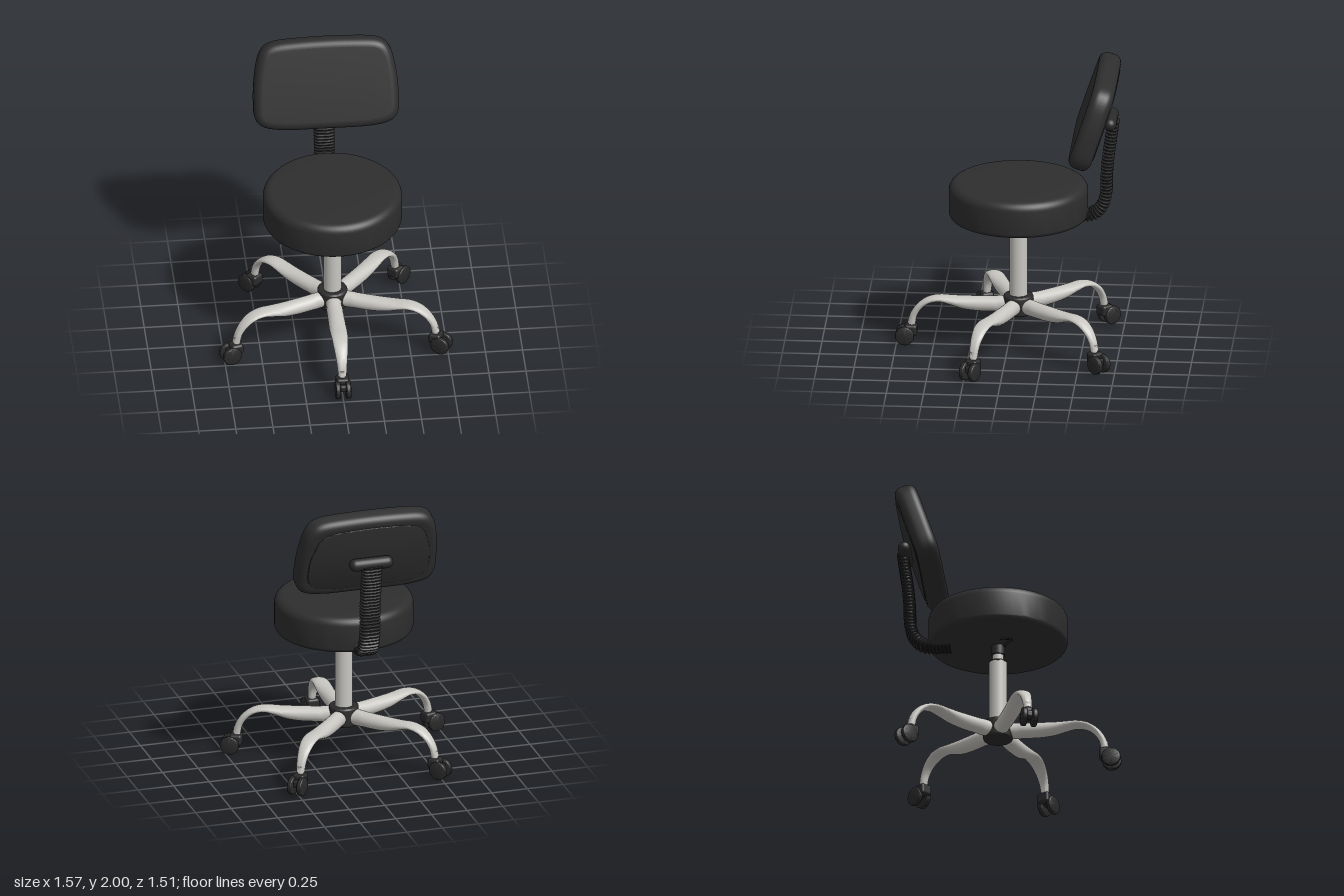
import * as THREE from 'three';
import { toCreasedNormals } from 'three/addons/utils/BufferGeometryUtils.js';
import { RoundedBoxGeometry } from 'three/addons/geometries/RoundedBoxGeometry.js';

const material = (name, color) => {
  const m = new THREE.MeshStandardMaterial({ color });
  m.name = name;
  return m;
};
const vinyl = material('black vinyl', 0x2e2e2e);
const plastic = material('black plastic', 0x2a2a2a);
const metal = material('silver metal', 0xc8c6c1);

const V = (x, y, z) => new THREE.Vector3(x, y, z);
const curve = (pts) => new THREE.CatmullRomCurve3(pts.map((p) => V(...p)));

function add(parent, name, geometry, mat, x = 0, y = 0, z = 0) {
  const mesh = new THREE.Mesh(geometry, mat);
  mesh.name = name;
  mesh.position.set(x, y, z);
  parent.add(mesh);
  return mesh;
}

// Sweeps an oval along a path; size(t) gives half width (along side) and half height.
function sweep(path, side, size, rings, sides, power = 1, crease = 0.9) {
  const pos = [], index = [];
  const bend = (v) => Math.sign(v) * Math.abs(v) ** power;
  for (let i = 0; i <= rings; i++) {
    const t = i / rings, c = path.getPoint(t);
    const n = path.getTangent(t).cross(side).normalize();
    const [w, h] = size(t, i);
    for (let j = 0; j < sides; j++) {
      const a = (j / sides) * Math.PI * 2;
      const p = c.clone().addScaledVector(side, w * bend(Math.cos(a))).addScaledVector(n, h * bend(Math.sin(a)));
      pos.push(p.x, p.y, p.z);
    }
  }
  pos.push(...path.getPoint(0).toArray(), ...path.getPoint(1).toArray());
  const first = (rings + 1) * sides, last = rings * sides;
  for (let j = 0; j < sides; j++) {
    const k = (j + 1) % sides;
    for (let i = 0; i < rings; i++) {
      const a = i * sides, b = a + sides;
      index.push(a + j, a + k, b + k, a + j, b + k, b + j);
    }
    index.push(first, k, j, first + 1, last + j, last + k);
  }
  const g = new THREE.BufferGeometry();
  g.setAttribute('position', new THREE.Float32BufferAttribute(pos, 3));
  g.setIndex(index);
  return toCreasedNormals(g, crease);
}

// Lathe with rounded rims: r radius, y0..y1 height, rounding at bottom and top
function puck(r, y0, y1, rb, rt, segments = 64) {
  const pts = [new THREE.Vector2(0, y0)];
  const arc = (cy, rad, from) => {
    for (let i = 0; i <= 8; i++) {
      const a = from + (i / 8) * Math.PI / 2;
      pts.push(new THREE.Vector2(r - rad + rad * Math.cos(a), cy + rad * Math.sin(a)));
    }
  };
  arc(y0 + rb, rb, -Math.PI / 2);
  arc(y1 - rt, rt, 0);
  pts.push(new THREE.Vector2(0, y1));
  return toCreasedNormals(new THREE.LatheGeometry(pts, segments), 0.7);
}

// Backrest outline: wider at the bottom, rounder at the top
function backOutline(s) {
  const x = 0.49 - s, y = 0.315 - s;
  const h = new THREE.Shape();
  h.moveTo(0, -y);
  h.lineTo(x - 0.26, -y);
  h.bezierCurveTo(x - 0.06, -y + 0.01, x, -y + 0.03, x, -y + 0.16);
  h.bezierCurveTo(x, 0, x - 0.01, 0.06, x - 0.025, y - 0.17);
  h.bezierCurveTo(x - 0.05, y - 0.04, x - 0.1, y - 0.015, x - 0.22, y - 0.008);
  h.quadraticCurveTo(x - 0.35, y, 0, y);
  const right = h.getPoints(12);
  const left = right.slice(1, -1).reverse().map((p) => new THREE.Vector2(-p.x, p.y));
  return new THREE.Shape([...right, ...left]);
}

function pad(inset, depth, bevel) {
  const g = new THREE.ExtrudeGeometry(backOutline(inset), {
    depth: depth - 2 * bevel, bevelEnabled: true, bevelSize: bevel,
    bevelThickness: bevel, bevelOffset: -bevel, bevelSegments: 7,
  });
  g.translate(0, 0, -depth / 2 + bevel);
  return toCreasedNormals(g, 0.7);
}

// Twin-wheel caster, its wheels trailing towards local +z
function makeCaster() {
  const g = new THREE.Group();
  g.name = 'caster';
  add(g, 'casterStem', new THREE.CylinderGeometry(0.022, 0.022, 0.07, 20), metal, 0, 0.155, 0);
  add(g, 'casterHood', new RoundedBoxGeometry(0.088, 0.075, 0.085, 4, 0.018), plastic, 0, 0.102, 0.005);
  add(g, 'casterAxle', new RoundedBoxGeometry(0.05, 0.05, 0.07, 3, 0.015), plastic, 0, 0.08, 0.04);
  for (const s of [-1, 1]) {
    const wheel = add(g, 'casterWheel', puck(0.064, -0.017, 0.017, 0.01, 0.01, 32), plastic, s * 0.035, 0.064, 0.045);
    wheel.rotation.z = Math.PI / 2;
  }
  return g;
}

export function createModel() {
  const chair = new THREE.Group();
  chair.name = 'officeStool';
  const base = new THREE.Group();
  base.name = 'base';
  base.position.z = -0.07;
  chair.add(base);

  // Hub, gas column and seat
  add(base, 'hub', puck(0.1, 0.235, 0.37, 0.015, 0.015, 40), plastic);
  add(base, 'column', new THREE.CylinderGeometry(0.06, 0.06, 0.46, 40), metal, 0, 0.575, 0);
  add(base, 'columnRim', new THREE.CylinderGeometry(0.061, 0.061, 0.01, 40), plastic, 0, 0.807, 0);
  add(base, 'piston', new THREE.CylinderGeometry(0.036, 0.036, 0.1, 32), metal, 0, 0.84, 0);
  add(base, 'seatSocket', new THREE.CylinderGeometry(0.048, 0.048, 0.08, 32), plastic, 0, 0.9, 0);
  add(base, 'seat', puck(0.467, 0.925, 1.173, 0.035, 0.06), vinyl);

  // Five curved legs, flattening and bending down to the casters
  const legPath = curve([[0, 0.3, 0.05], [0, 0.298, 0.16], [0, 0.298, 0.27], [0, 0.304, 0.37], [0, 0.317, 0.45],
    [0, 0.328, 0.53], [0, 0.312, 0.605], [0, 0.268, 0.665], [0, 0.21, 0.703], [0, 0.145, 0.72]]);
  const legSize = curve([[0.055, 0.052, 0], [0.055, 0.052, 0], [0.056, 0.051, 0], [0.058, 0.044, 0], [0.058, 0.031, 0],
    [0.055, 0.022, 0], [0.05, 0.021, 0], [0.041, 0.022, 0], [0.033, 0.024, 0], [0.028, 0.027, 0]]);
  const legGeometry = sweep(legPath, V(1, 0, 0), (t) => {
    const p = legSize.getPoint(t);
    return [p.x, p.y];
  }, 45, 24);
  const deg = Math.PI / 180;
  for (const [angle, yaw] of [[0, 0], [69, 62], [-69, -73], [139, 136], [-139, -136]]) {
    const arm = new THREE.Group();
    arm.name = 'leg';
    arm.rotation.y = angle * deg;
    add(arm, 'legTube', legGeometry, metal);
    const caster = makeCaster();
    caster.position.z = 0.718;
    caster.rotation.y = (yaw - angle) * deg;
    arm.add(caster);
    base.add(arm);
  }

  // Height lever with a flat paddle end
  const leverPath = curve([[-0.02, 0.92, -0.03], [-0.12, 0.916, 0.03], [-0.2, 0.89, 0.035], [-0.28, 0.85, 0.01], [-0.365, 0.813, 0]]);
  add(chair, 'heightLever', sweep(leverPath, V(0, 0, 1),
    (t) => [0.009 + 0.022 * THREE.MathUtils.smoothstep(t, 0.55, 0.8), 0.007], 30, 12), plastic);

  // Ribbed sleeve over the back support
  const spine = curve([[0, 0.95, -0.39], [0, 0.948, -0.49], [0, 0.96, -0.575], [0, 1.015, -0.632], [0, 1.1, -0.658],
    [0, 1.25, -0.664], [0, 1.4, -0.678], [0, 1.52, -0.695], [0, 1.62, -0.708]]);
  const evenSpine = new THREE.CatmullRomCurve3(spine.getSpacedPoints(40));
  add(chair, 'ribbedSleeve', sweep(evenSpine, V(1, 0, 0), (t, i) => {
    const groove = i % 4 < 2 ? 0 : 0.011;
    return [0.07 - groove, 0.041 - groove];
  }, 37 * 4 + 1, 24, 0.55, 0.6), plastic);

  // Tilted backrest with a rear panel
  const back = new THREE.Group();
  back.name = 'backrest';
  back.position.set(0, 1.69, -0.584);
  back.rotation.x = -18.4 * deg;
  chair.add(back);
  add(back, 'backCushion', pad(0, 0.152, 0.055), vinyl);
  add(back, 'rearPanel', pad(0.065, 0.02, 0.006), vinyl, 0, 0, -0.073);

  // Mounting bar behind the backrest
  const bar = add(chair, 'backMount', new THREE.CapsuleGeometry(0.043, 0.22, 8, 24), plastic, 0, 1.63, -0.692);
  bar.rotation.z = Math.PI / 2;

  return chair;
}
